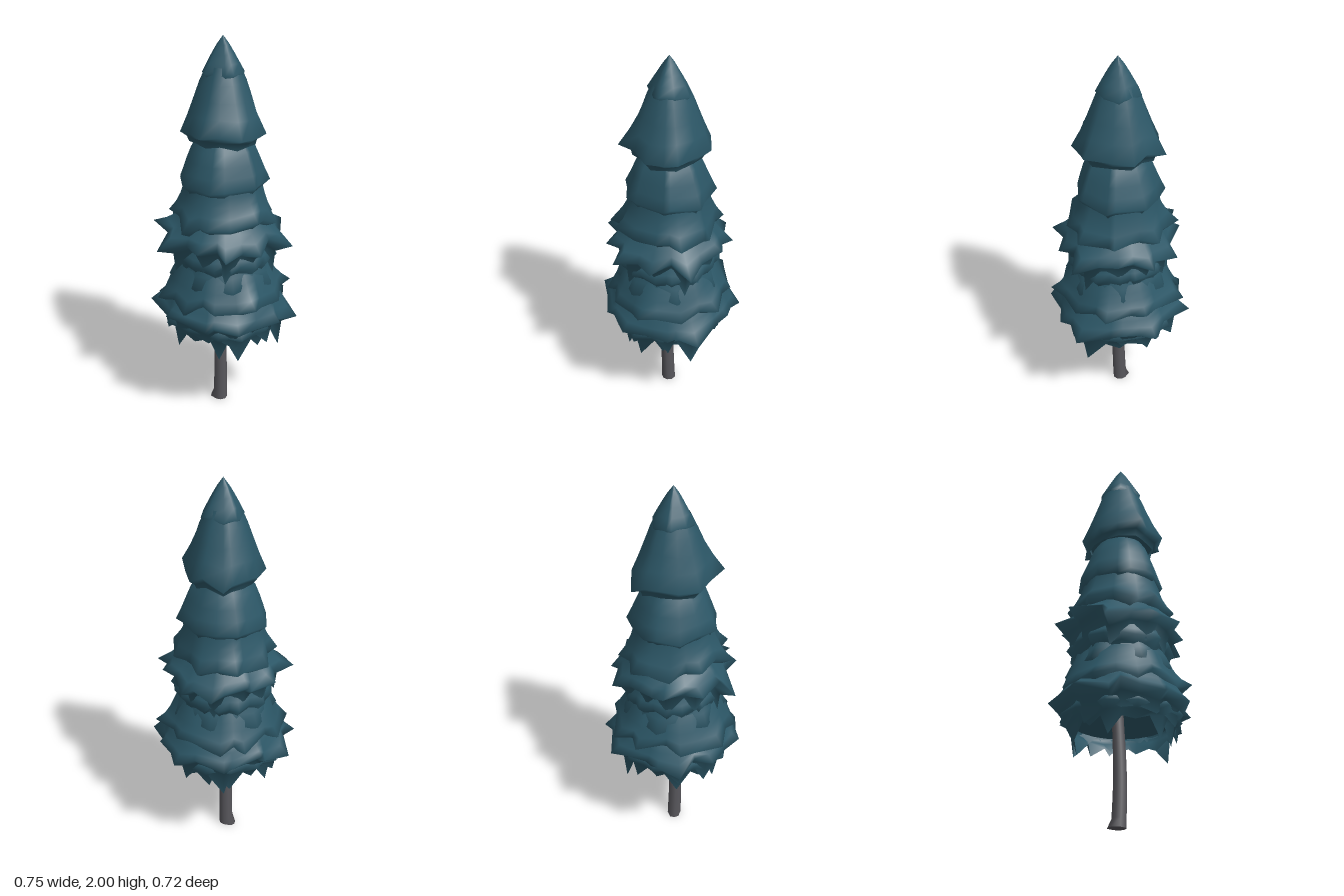
import * as THREE from 'three';

// Small seeded generator, returns values in 0..1
function seeded(seed) {
  let s = seed * 7919 + 17;
  return () => {
    s = (s * 16807) % 2147483647;
    return s / 2147483647;
  };
}

// A ragged skirt: a rounded slope to a pointed brim, tucked under into a hanging fringe
function skirtGeometry(sides, topY, topR, brimY, brimR, point, fringe, bulge, seed) {
  const rand = seeded(seed);
  for (let i = 0; i < 8; i++) rand();
  const boughs = Array.from({ length: sides }, (_, i) => ({
    reach: i % 2 ? 0.3 + 0.7 * rand() : 0.35 * rand() - 0.1,
    tilt: rand() - 0.5,
    angle: ((i + 0.8 * (rand() - 0.5)) / sides) * Math.PI * 2 + seed,
  }));
  const pos = [], index = [];
  const ring = (r, y, out, lift, drop) => {
    for (const { reach, tilt, angle } of boughs) {
      const radius = r + out * reach;
      const fall = drop * reach * (0.5 + 0.5 * rand());
      pos.push(Math.sin(angle) * radius, y + lift * tilt - fall, Math.cos(angle) * radius);
    }
  };
  const steps = 4;
  for (let j = 0; j <= steps; j++) {
    const t = j / steps;
    ring(THREE.MathUtils.lerp(topR, brimR, t ** bulge), THREE.MathUtils.lerp(topY, brimY, t),
      point * t ** 3, point * 0.8 * t * t, 0.02 * t ** 3);
  }
  ring(brimR * 0.92, brimY - 0.03, point * 0.3, point * 0.6, fringe * 0.2);
  ring(brimR * 0.84, brimY - 0.055, point * 0.4, point * 0.4, fringe);

  const rings = pos.length / 3 / sides;
  for (let j = 0; j < rings - 1; j++) {
    for (let i = 0; i < sides; i++) {
      const a = j * sides + i, b = j * sides + ((i + 1) % sides);
      index.push(a, a + sides, b, b, a + sides, b + sides);
    }
  }
  const geometry = new THREE.BufferGeometry();
  geometry.setAttribute('position', new THREE.Float32BufferAttribute(pos, 3));
  geometry.setIndex(index);
  geometry.computeVertexNormals();
  return geometry;
}

// Tapered, slightly bent trunk with one root toe at the foot
function trunkGeometry() {
  const geometry = new THREE.CylinderGeometry(0.022, 0.037, 1.1, 9, 24);
  geometry.translate(0, 0.555, 0);
  const p = geometry.attributes.position;
  for (let i = 0; i < p.count; i++) {
    const x = p.getX(i), y = p.getY(i);
    const toe = y < 0.02 && x < -0.02 ? 0.018 : 0;
    p.setX(i, x - 0.025 - toe + 0.006 * Math.sin(y * 7));
    p.setZ(i, p.getZ(i) + 0.006 + 0.006 * Math.sin(y * 5));
  }
  return geometry;
}

export function createModel() {
  const needles = new THREE.MeshStandardMaterial({ color: 0x2c5767, side: THREE.DoubleSide });
  needles.name = 'spruce needles';
  const bark = new THREE.MeshStandardMaterial({ color: 0x58575c });
  bark.name = 'grey bark';

  const tree = new THREE.Group();
  tree.name = 'spruceTree';
  const add = (name, geometry, material, x = 0, y = 0) => {
    const mesh = new THREE.Mesh(geometry, material);
    mesh.name = name;
    mesh.position.set(x, y, 0);
    tree.add(mesh);
  };

  add('trunk', trunkGeometry(), bark);

  // name, sides, top height, top radius, brim height, brim radius, points, fringe, bulge, seed
  const addTier = (name, ...shape) => add(name, skirtGeometry(...shape), needles, -0.01);
  addTier('tip', 10, 2, 0, 1.83, 0.1, 0.02, 0.01, 0.85, 3);
  addTier('crown', 14, 1.86, 0.08, 1.555, 0.185, 0.065, 0.03, 0.8, 5);
  addTier('upperDome', 14, 1.51, 0.12, 1.29, 0.212, 0.025, 0.06, 0.65, 8);
  addTier('upperMiddleTier', 18, 1.3, 0.19, 1.11, 0.235, 0.07, 0.12, 1.3, 12);
  addTier('middleTier', 22, 1.14, 0.19, 1.01, 0.27, 0.1, 0.16, 0.9, 21);
  addTier('hangingFringe', 30, 1.02, 0.21, 0.9, 0.25, 0.03, 0.2, 0.8, 27);
  addTier('innerBoughs', 14, 1.02, 0.18, 0.78, 0.25, 0.03, 0.04, 0.9, 31);
  addTier('lowerMiddleTier', 20, 0.85, 0.23, 0.69, 0.29, 0.07, 0.1, 0.8, 36);
  addTier('bottomTier', 22, 0.73, 0.26, 0.605, 0.315, 0.08, 0.18, 0.7, 44);
  addTier('bottomFringe', 26, 0.64, 0.26, 0.545, 0.285, 0.04, 0.14, 0.7, 52);

  // Shallow cones closing the crown and the skirt from below
  add('crownUnderside', new THREE.ConeGeometry(0.16, 0.05, 14, 1, true), needles, -0.01, 1.53);
  add('skirtUnderside', new THREE.ConeGeometry(0.25, 0.1, 20, 1, true), needles, -0.01, 0.58);
  return tree;
}
